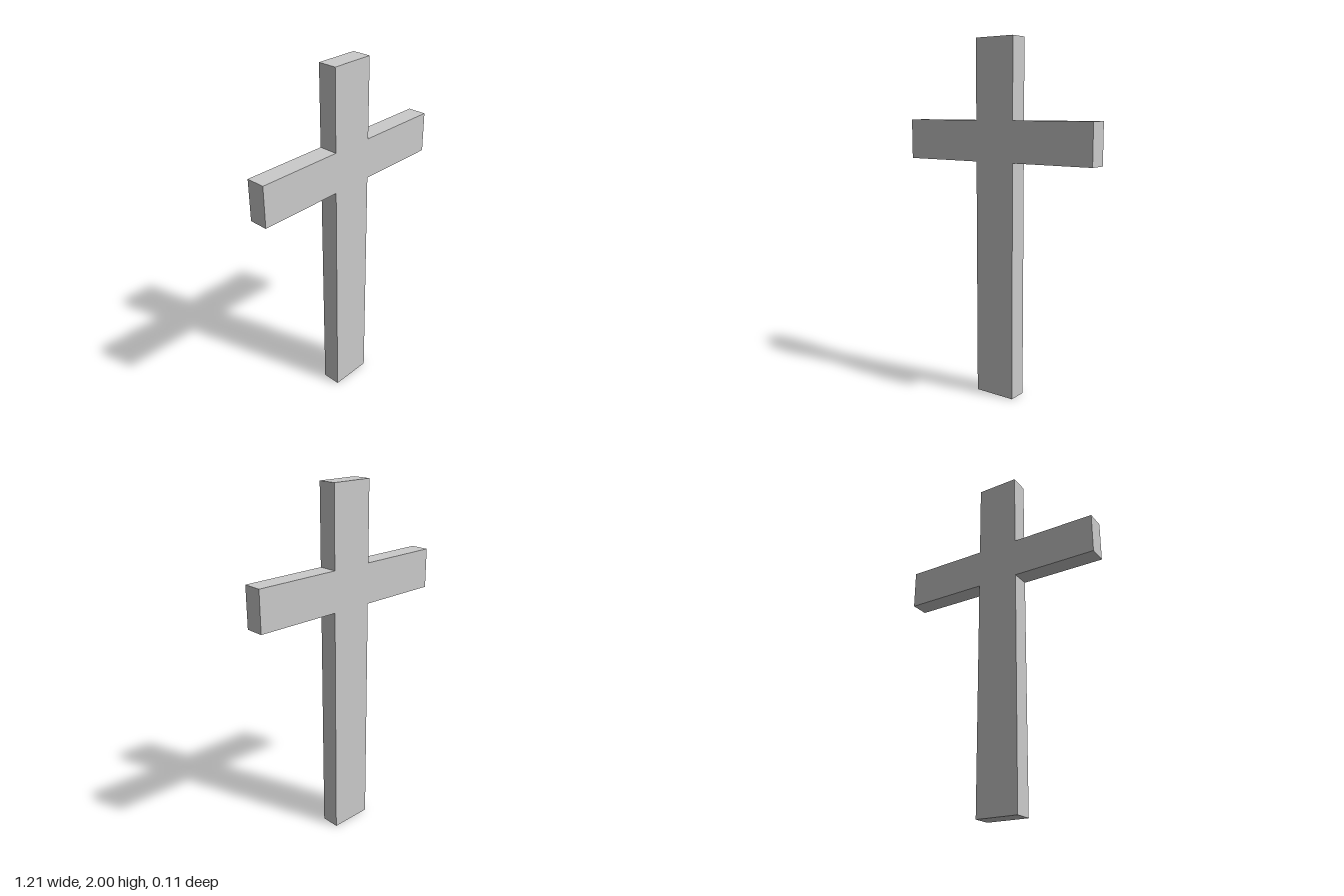
import * as THREE from 'three';

export function createModel() {
  const group = new THREE.Group();
  group.name = 'cross';

  const height = 2, depth = 0.107;
  const post = 0.122, arm = 0.605; // half widths
  const armBottom = 1.333, armTop = 1.56;

  // Right half of the outline from bottom to top, mirrored for the left half
  const half = [
    [post, 0], [post, armBottom], [arm, armBottom],
    [arm, armTop], [post, armTop], [post, height],
  ];
  const outline = [...half, ...half.map(([x, y]) => [-x, y]).reverse()];
  const shape = new THREE.Shape(outline.map(([x, y]) => new THREE.Vector2(x, y)));

  // Upright and crossbar as one solid slab
  const geometry = new THREE.ExtrudeGeometry(shape, { depth, bevelEnabled: false });
  geometry.translate(0, 0, -depth / 2);
  const body = new THREE.Mesh(
    geometry,
    new THREE.MeshStandardMaterial({ color: 0xcccccc, flatShading: true })
  );
  body.name = 'uprightAndCrossbar';
  group.add(body);
  return group;
}
